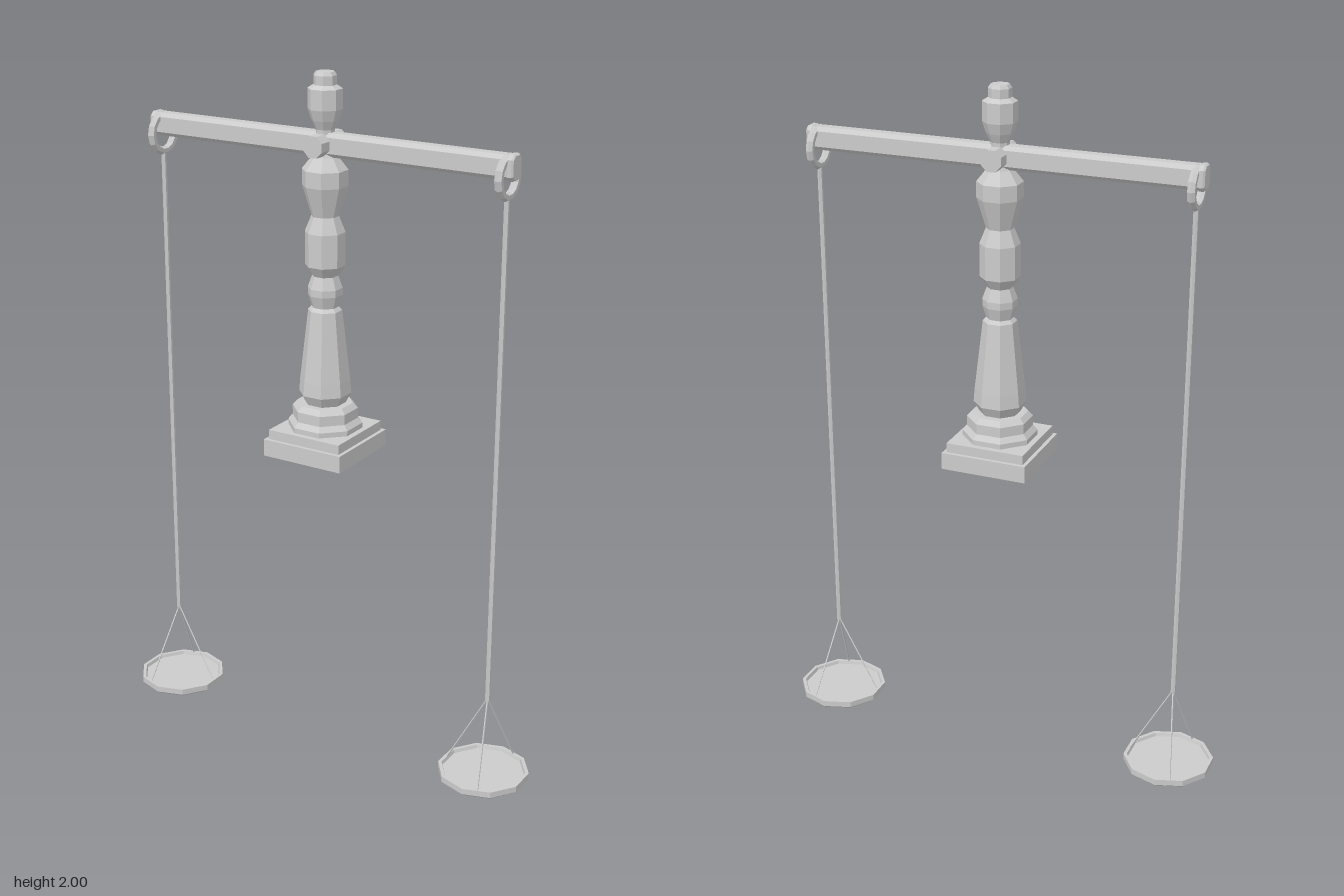
import * as THREE from 'three';

const material = new THREE.MeshStandardMaterial({ color: 0xcccccc, flatShading: true });

export function createModel() {
  const model = new THREE.Group();
  model.name = 'balanceScale';

  function add(name, geometry, x = 0, y = 0, z = 0, parent = model) {
    const mesh = new THREE.Mesh(geometry, material);
    mesh.name = name;
    mesh.position.set(x, y, z);
    parent.add(mesh);
    return mesh;
  }

  // Thin straight bar between two points
  function bar(name, from, to, radius, sides, parent) {
    const a = new THREE.Vector3(...from), b = new THREE.Vector3(...to);
    const dir = b.clone().sub(a);
    const mesh = add(name, new THREE.CylinderGeometry(radius, radius, dir.length(), sides), 0, 0, 0, parent);
    mesh.position.copy(a).add(b).multiplyScalar(0.5);
    mesh.quaternion.setFromUnitVectors(new THREE.Vector3(0, 1, 0), dir.normalize());
    return mesh;
  }

  // Turned solid; flats face the four main directions
  function turned(name, points, sides) {
    const k = 1 / Math.cos(Math.PI / sides);
    const profile = points.map(([r, y]) => new THREE.Vector2(r * k, y));
    return add(name, new THREE.LatheGeometry(profile, sides, Math.PI / sides));
  }

  // Square plinth in two steps
  add('plinthLower', new THREE.BoxGeometry(0.256, 0.05, 0.256), 0, 0.932, 0);
  add('plinthUpper', new THREE.BoxGeometry(0.234, 0.03, 0.234), 0, 0.97, 0);

  // Column foot
  turned('columnFoot', [
    [0, 0.98], [0.1, 0.98], [0.1, 1.0], [0.088, 1.015],
    [0.088, 1.045], [0.075, 1.06], [0, 1.06],
  ], 8);

  // Baluster column with finial
  turned('column', [
    [0.05, 1.05], [0.07, 1.09], [0.067, 1.13], [0.045, 1.335], [0.036, 1.345], [0.046, 1.38],
    [0.046, 1.4], [0.034, 1.435], [0.053, 1.465], [0.053, 1.56], [0.036, 1.605],
    [0.06, 1.69], [0.06, 1.735], [0.034, 1.77], [0.025, 1.79], [0.025, 1.845],
    [0.036, 1.87], [0.045, 1.9], [0.045, 1.955], [0.03, 1.965], [0.03, 1.99],
    [0.024, 2.0], [0, 2.0],
  ], 8);

  // Beam: chamfered bar along x
  const w = 0.025, h = 0.033, c = 0.011;
  const section = new THREE.Shape([
    [w, -h + c], [w, h - c], [w - c, h], [c - w, h],
    [-w, h - c], [-w, c - h], [c - w, -h], [w - c, -h],
  ].map(([x, y]) => new THREE.Vector2(x, y)));
  const beam = new THREE.ExtrudeGeometry(section, { depth: 1.13, bevelEnabled: false });
  beam.translate(0, 0, -0.565).rotateY(Math.PI / 2);
  add('beam', beam, 0, 1.805, 0);

  // Pivot pin through the column
  add('pivot', new THREE.CylinderGeometry(0.032, 0.032, 0.13, 8).rotateY(Math.PI / 8).rotateX(Math.PI / 2), 0, 1.805, 0);

  // One hanging assembly at each end of the beam
  for (const side of [-1, 1]) {
    const hanger = new THREE.Group();
    hanger.name = side > 0 ? 'leftHanger' : 'rightHanger';
    model.add(hanger);
    const x = side * 0.553, panX = side * 0.547;

    const cap = new THREE.ExtrudeGeometry(section, {
      depth: 0.012, bevelThickness: 0.005, bevelSize: 0.004, bevelOffset: -0.002, bevelSegments: 1,
    });
    cap.translate(0, 0, -0.006).rotateY(Math.PI / 2);
    add('beamEnd', cap, side * 0.568, 1.805, 0, hanger);

    add('ring', new THREE.TorusGeometry(0.052, 0.012, 6, 14).rotateY(Math.PI / 2), x, 1.777, 0, hanger);
    bar('rod', [x, 0.25, 0], [x, 1.725, 0], 0.0075, 6, hanger);

    // Three strings spread down to the pan rim
    for (const [dx, dz] of [[-0.124, 0], [0.042, 0.119], [0.042, -0.119]]) {
      bar('string', [x, 0.255, 0], [panX + side * dx, 0.014, dz], 0.0025, 4, hanger);
    }

    // Shallow ten-sided dish
    const dish = [[0, 0], [0.127, 0], [0.134, 0.006], [0.134, 0.024], [0.124, 0.024], [0.121, 0.014], [0, 0.014]]
      .map(([r, y]) => new THREE.Vector2(r, y));
    add('pan', new THREE.LatheGeometry(dish, 10), panX, 0, 0, hanger);
  }

  return model;
}
